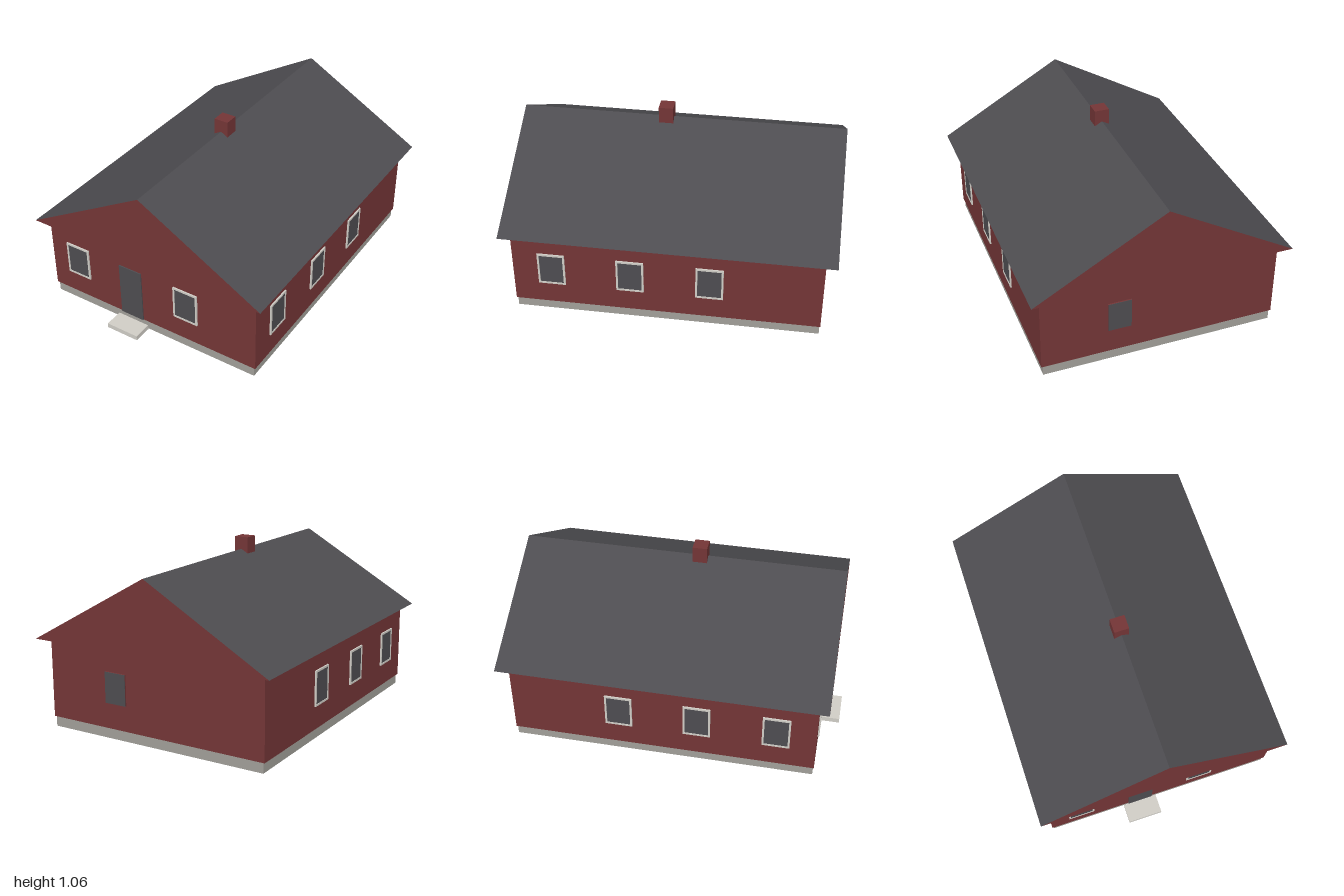
import * as THREE from 'three';

const mat = (name, color) => Object.assign(new THREE.MeshStandardMaterial({ color }), { name });

export function createModel() {
  const red = mat('barn red', 0x733536);
  const slate = mat('slate grey', 0x4d4c50);
  const concrete = mat('concrete', 0xa09e98);
  const trim = mat('pale trim', 0xcfccc5);

  const house = new THREE.Group();
  house.name = 'house';

  const add = (parent, name, geometry, material) => {
    const mesh = new THREE.Mesh(geometry, material);
    mesh.name = name;
    parent.add(mesh);
    return mesh;
  };

  // Box given by its limits on each axis
  const box = (name, [x0, x1], [y0, y1], [z0, z1], material) => {
    const mesh = add(house, name, new THREE.BoxGeometry(x1 - x0, y1 - y0, z1 - z0), material);
    mesh.position.set((x0 + x1) / 2, (y0 + y1) / 2, (z0 + z1) / 2);
    return mesh;
  };

  // Body of the house
  box('foundation', [-0.706, 0.706], [0, 0.062], [-0.93, 0.88], concrete);
  box('walls', [-0.716, 0.716], [0.062, 0.546], [-0.935, 0.886], red);
  box('chimney', [-0.045, 0.045], [0.955, 1.06], [0.03, 0.117], red);
  box('doorstep', [-0.238, -0.025], [0, 0.03], [0.886, 1], trim);
  box('door', [-0.21, -0.054], [0.062, 0.41], [0.88, 0.893], slate);

  // Roof prism: red gable ends, grey slopes and soffit
  const gable = new THREE.Shape();
  gable.moveTo(-0.776, 0.545);
  gable.lineTo(0.776, 0.545);
  gable.lineTo(0, 0.985);
  gable.closePath();
  const roofGeometry = new THREE.ExtrudeGeometry(gable, { depth: 1.945, bevelEnabled: false });
  add(house, 'roof', roofGeometry, [red, slate]).position.z = -1;

  // Framed window, built facing +z and turned to its wall
  const rectangle = (Type, w, h) => new Type([
    new THREE.Vector2(-w / 2, -h / 2), new THREE.Vector2(w / 2, -h / 2),
    new THREE.Vector2(w / 2, h / 2), new THREE.Vector2(-w / 2, h / 2),
  ]);
  const frameShape = rectangle(THREE.Shape, 0.163, 0.214);
  frameShape.holes.push(rectangle(THREE.Path, 0.14, 0.19));
  const frameGeometry = new THREE.ExtrudeGeometry(frameShape, { depth: 0.009, bevelEnabled: false });
  const paneGeometry = new THREE.BoxGeometry(0.141, 0.191, 0.006);

  const addWindow = (name, x, z, turn) => {
    const group = new THREE.Group();
    group.name = name;
    group.position.set(x, 0.31, z);
    group.rotation.y = turn;
    add(group, 'windowFrame', frameGeometry, trim);
    add(group, 'windowPane', paneGeometry, slate).position.z = 0.003;
    house.add(group);
  };
  for (const x of [-0.517, 0.252]) addWindow('frontWindow', x, 0.886, 0);
  for (const side of [-1, 1]) {
    for (const z of [0.653, 0.186, -0.281]) {
      addWindow('sideWindow', side * 0.716, z, side * Math.PI / 2);
    }
  }

  // Frameless back window on a red backing
  box('backWindowBacking', [0.182, 0.322], [0.217, 0.403], [-0.943, -0.93], red);
  box('backWindowPane', [0.182, 0.322], [0.217, 0.403], [-0.945, -0.943], slate);

  return house;
}
